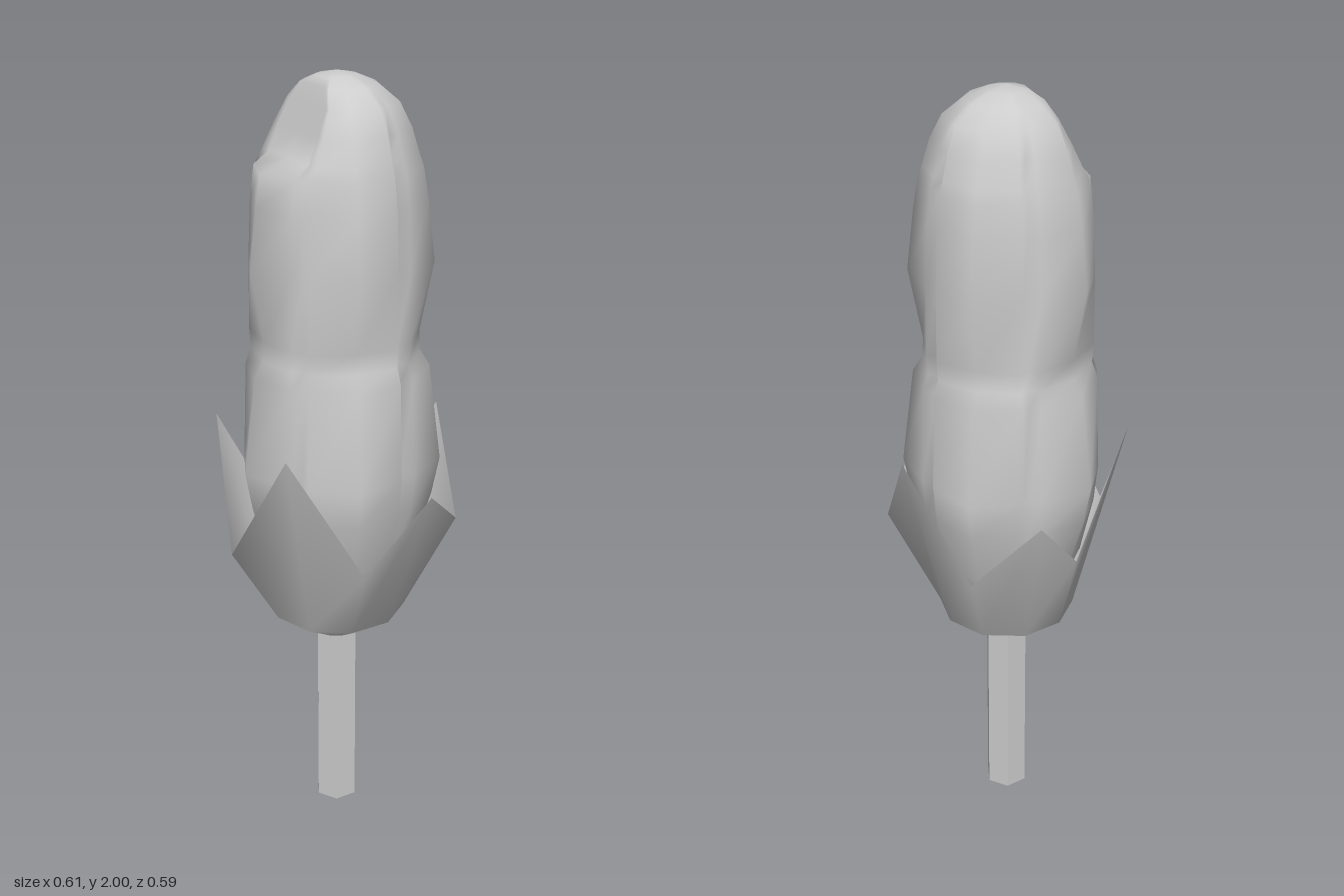
import * as THREE from 'three';
import { mergeVertices } from 'three/addons/utils/BufferGeometryUtils.js';

const rad = THREE.MathUtils.degToRad;
const polar = (deg, r, y) => [Math.cos(rad(deg)) * r, y, Math.sin(rad(deg)) * r];

// Closed skin through rings of points listed from bottom to top
function loft(rings) {
  const n = rings[0].length, index = [];
  for (let i = 0; i < rings.length - 1; i++) {
    for (let j = 0; j < n; j++) {
      const k = (j + 1) % n, a = i * n + j, b = i * n + k;
      index.push(a, a + n, b, b, a + n, b + n);
    }
  }
  let g = new THREE.BufferGeometry();
  g.setAttribute('position', new THREE.Float32BufferAttribute(rings.flat(2), 3));
  g.setIndex(index);
  g = mergeVertices(g, 1e-4);
  g.computeVertexNormals();
  return g;
}

export function createModel() {
  const group = new THREE.Group();
  const grey = new THREE.MeshStandardMaterial({ color: 0xcccccc });
  grey.name = 'lightGrey';
  const greyFacet = grey.clone();
  greyFacet.name = 'lightGreyFaceted';
  greyFacet.flatShading = true;
  const greyLeaf = grey.clone();
  greyLeaf.name = 'lightGreyLeaf';
  greyLeaf.side = THREE.DoubleSide;

  const add = (name, geometry, material) => {
    const mesh = new THREE.Mesh(geometry, material);
    mesh.name = name;
    group.add(mesh);
    return mesh;
  };

  // Hexagonal stick
  const stick = add('stick', new THREE.CylinderGeometry(0.058, 0.058, 0.54, 6), greyFacet);
  stick.rotation.y = Math.PI / 2;
  stick.position.y = 0.27;

  // Five-lobed body: height, radius at lobe centre, at lobe edge, in the crease
  const profile = [
    [0.55, 0, 0, 0],
    [0.62, 0.13, 0.13, 0.12],
    [0.78, 0.2, 0.195, 0.18],
    [0.93, 0.245, 0.227, 0.205],
    [1.03, 0.264, 0.236, 0.212],
    [1.28, 0.232, 0.227, 0.205],
    [1.32, 0.207, 0.213, 0.195],
    [1.37, 0.205, 0.216, 0.195],
    [1.55, 0.238, 0.214, 0.195],
    [1.7, 0.22, 0.207, 0.188],
    [1.78, 0.207, 0.197, 0.178],
    [1.81, 0.196, 0.188, 0.166],
    [1.87, 0.178, 0.172, 0.16],
    [1.93, 0.148, 0.146, 0.145],
    [1.97, 0.098, 0.098, 0.098],
    [1.99, 0.05, 0.05, 0.05],
    [2.0, 0, 0, 0],
  ];
  const bodyRings = profile.map(([y, centre, edge, crease]) => {
    const ring = [];
    for (let lobe = 0; lobe < 5; lobe++) {
      const a = lobe * 72;
      ring.push(polar(a, crease, y), polar(a + 6, edge, y),
        polar(a + 36, centre, y), polar(a + 66, edge, y));
    }
    // Sloping bite out of the dome on the -x side
    if (y > 1.8) {
      const limit = -0.14 + (y - 1.79) * 0.44;
      for (const p of ring) p[0] = Math.max(p[0], limit);
    }
    return ring;
  });
  add('body', loft(bodyRings), grey);

  // Leafy cup: [radius, height] of the rim at every 36 degrees, tips and valleys alternating
  const rim = [
    [0.306, 1.11], [0.31, 0.86], [0.31, 1.0], [0.31, 0.83], [0.308, 1.13],
    [0.308, 0.82], [0.308, 1.13], [0.228, 0.81], [0.31, 1.0], [0.255, 0.8],
  ];
  const cupRings = [
    rim.map((_, i) => polar(i * 36, 0.035, 0.51)),
    rim.map((_, i) => polar(i * 36, 0.178, 0.6)),
    rim.map(([r, y], i) => polar(i * 36, r, y)),
  ];
  add('leafCup', loft(cupRings), greyLeaf);

  return group;
}
